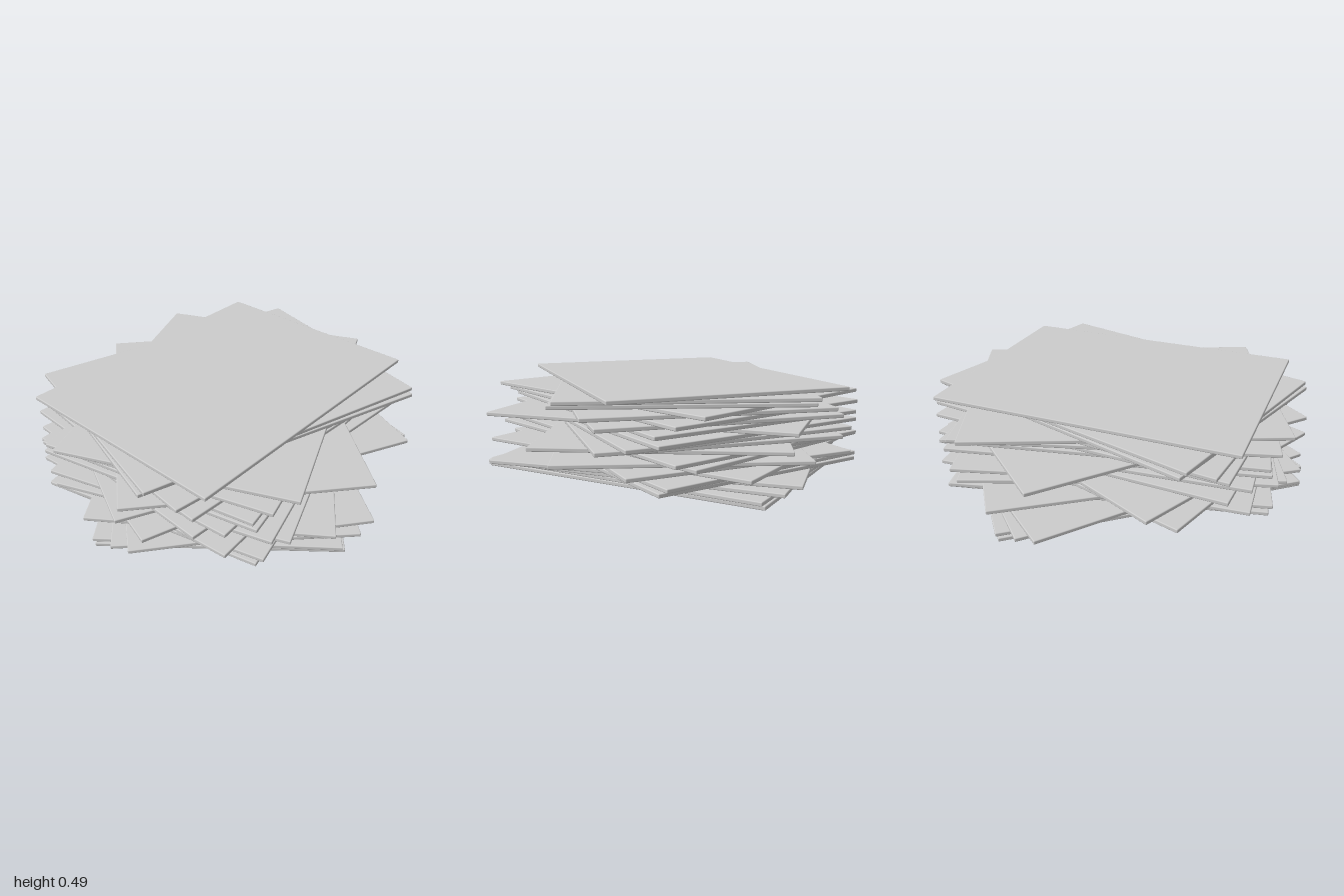
import * as THREE from 'three';
import { RoundedBoxGeometry } from 'three/addons/geometries/RoundedBoxGeometry.js';

// Loose pile of rectangular sheets, each turned about the shared centre
const WIDTH = 1.2, DEPTH = 1.6, HEIGHT = 0.49;

// Turn of each sheet in degrees, from the bottom to the top
const TURNS = [
  31, 30, 37, 43, 4, 6, 27, -4, -26, 13, 8, -34,
  -12, -4, 4, 41, 3, -12, 8, -16, 15, -26, -24.3, -8.7,
];

export function createModel() {
  const group = new THREE.Group();
  group.name = 'sheetStack';
  const material = new THREE.MeshStandardMaterial({ color: 0xcccccc });
  const thickness = HEIGHT / TURNS.length;

  // One thin slab with softly rounded edges, shared by all sheets
  const geometry = new RoundedBoxGeometry(WIDTH, thickness, DEPTH, 2, 0.005);

  TURNS.forEach((turn, i) => {
    const sheet = new THREE.Mesh(geometry, material);
    sheet.name = `sheet${i + 1}`;
    sheet.position.y = (i + 0.5) * thickness;
    sheet.rotation.y = THREE.MathUtils.degToRad(turn);
    group.add(sheet);
  });
  return group;
}
